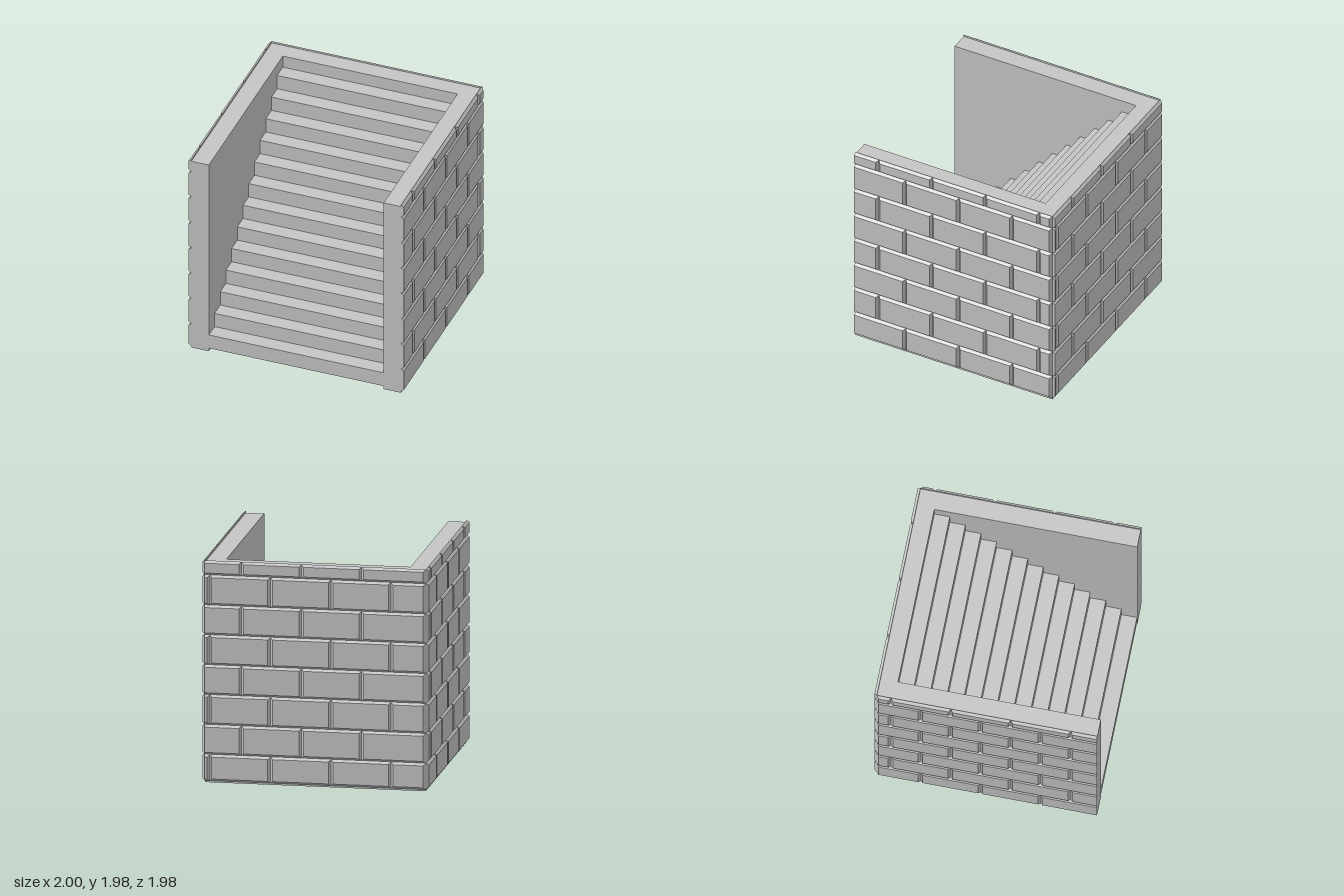
import * as THREE from 'three';
import { mergeGeometries } from 'three/addons/utils/BufferGeometryUtils.js';

const BEVEL = 0.02, DEPTH = 0.025;
// heights of the mortar lines between brick courses
const COURSES = [0.015, 0.25, 0.515, 0.782, 1.048, 1.315, 1.58, 1.848, 1.975];

// A brick lying on the plane z = 0, its outer face drawn in by a bevel at each edge
function brick(u0, u1, v0, v1, bevel0, bevel1) {
  const g = new THREE.BoxGeometry(u1 - u0, v1 - v0, DEPTH).toNonIndexed();
  g.translate((u0 + u1) / 2, (v0 + v1) / 2, DEPTH / 2);
  const p = g.attributes.position, mu = (u0 + u1) / 2, mv = (v0 + v1) / 2;
  for (let i = 0; i < p.count; i++) {
    if (p.getZ(i) < DEPTH / 2) continue;
    const u = p.getX(i), v = p.getY(i);
    p.setXY(i, u < mu ? u + bevel0 : u - bevel1, v < mv ? v + BEVEL : v - BEVEL);
  }
  g.computeVertexNormals();
  return g;
}

// A whole brick face; joints alternate between even and odd courses
function brickFace(start, end, jointSets, startBevel, endBevels) {
  const parts = [];
  for (let j = 0; j < COURSES.length - 1; j++) {
    const stops = [start, ...jointSets[j % 2], end];
    for (let i = 0; i < stops.length - 1; i++) {
      const b0 = i === 0 ? startBevel : BEVEL;
      const b1 = i === stops.length - 2 ? endBevels[j % 2] : BEVEL;
      parts.push(brick(stops[i], stops[i + 1], COURSES[j], COURSES[j + 1], b0, b1));
    }
  }
  return mergeGeometries(parts);
}

export function createModel() {
  const model = new THREE.Group();
  model.name = 'walledStaircase';
  const stone = new THREE.MeshStandardMaterial({ color: 0xc4c4c4 });
  stone.name = 'greyStone';

  const add = (name, geometry, parent = model) => {
    const mesh = new THREE.Mesh(geometry, stone);
    mesh.name = name;
    parent.add(mesh);
    return mesh;
  };
  const block = (x0, x1, y0, y1, z0, z1) =>
    new THREE.BoxGeometry(x1 - x0, y1 - y0, z1 - z0)
      .translate((x0 + x1) / 2, (y0 + y1) / 2, (z0 + z1) / 2);

  // U-shaped wall around the stairs, extruded upward from its plan
  const inner = 0.8125, outer = 0.975, front = 0.985, back = -0.965, backInner = -0.81;
  const plan = new THREE.Shape([
    [-outer, -front], [-inner, -front], [-inner, -backInner], [inner, -backInner],
    [inner, -front], [outer, -front], [outer, -back], [-outer, -back],
  ].map(([x, y]) => new THREE.Vector2(x, y)));
  const wall = new THREE.ExtrudeGeometry(plan, { depth: 1.957, bevelEnabled: false });
  add('surroundingWall', wall.rotateX(-Math.PI / 2));

  // Bricks on the right and left sides, u running from back to front or front to back
  const sideJoints = [[-0.575, -0.045, 0.485], [-0.84, -0.31, 0.22, 0.75]];
  const flip = (list) => list.map((z) => -z).reverse();
  const leftSide = add('brickSideLeft',
    brickFace(-front, -back, sideJoints.map(flip), 0, [BEVEL, BEVEL]));
  leftSide.rotation.y = Math.PI / 2;
  leftSide.position.x = outer;
  const rightSide = add('brickSideRight',
    brickFace(back, front, sideJoints, BEVEL, [0, 0]));
  rightSide.rotation.y = -Math.PI / 2;
  rightSide.position.x = -outer;

  // Bricks on the back
  const backJoints = [[-0.67, -0.14, 0.395, 0.93], [-0.41, 0.12, 0.65]];
  const backFace = add('brickBack',
    brickFace(-outer, outer, backJoints.map(flip), 0, [BEVEL, BEVEL]));
  backFace.rotation.y = Math.PI;
  backFace.position.z = back;

  // Thirteen steps, each a square bar that meets the next along one edge
  const stairs = new THREE.Group();
  stairs.name = 'stairs';
  model.add(stairs);
  const rise = 0.1393, run = 0.138;
  for (let k = 0; k < 13; k++) {
    const y = 0.03 + k * rise, z = 0.983 - k * run;
    add('step' + (k + 1), block(-inner, inner, y, y + rise, z - run, z), stairs);
  }
  return model;
}
